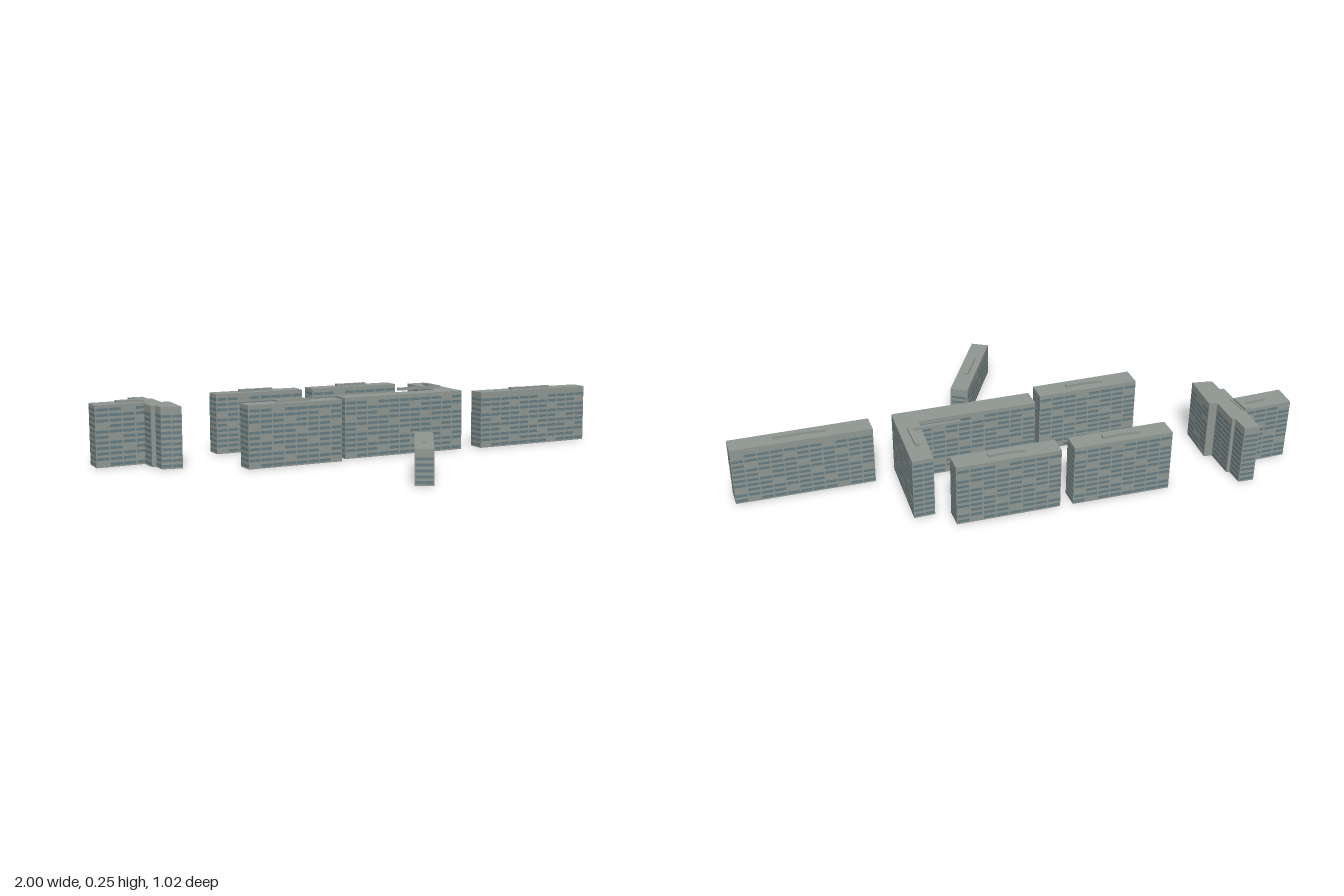
import * as THREE from 'three';
import { mergeGeometries } from 'three/addons/utils/BufferGeometryUtils.js';

const wall = new THREE.MeshStandardMaterial({ color: 0x8f9691 });
const glass = new THREE.MeshStandardMaterial({ color: 0x647c83 });
const FLOOR = 0.0203;

// Prism standing on y0 from a plan outline of [x, z] corners
function prism(plan, y0, y1) {
  const shape = new THREE.Shape(plan.map(([x, z]) => new THREE.Vector2(x, -z)));
  const geo = new THREE.ExtrudeGeometry(shape, { depth: y1 - y0, bevelEnabled: false });
  return geo.rotateX(-Math.PI / 2).translate(0, y0, 0);
}

function add(group, name, geo, material) {
  const mesh = new THREE.Mesh(geo, material);
  mesh.name = name;
  group.add(mesh);
}

// Rows of window panes on every wall, with some blank bays
function windows(plan, height) {
  let area = 0;
  plan.forEach(([x, z], i) => {
    const [u, v] = plan[(i + 1) % plan.length];
    area += x * v - u * z;
  });
  const pts = area > 0 ? [...plan].reverse() : plan;
  const panes = [];
  const floors = Math.floor((height - 0.006) / FLOOR);
  pts.forEach(([x, z], i) => {
    const [u, v] = pts[(i + 1) % pts.length];
    const dx = u - x, dz = v - z, length = Math.hypot(dx, dz);
    if (length < 0.045) return;
    const bays = Math.max(1, Math.round(length / 0.047));
    const bay = length / bays;
    const nx = -dz / length, nz = dx / length;
    for (let f = 0; f < floors; f++) {
      for (let b = 0; b < bays; b++) {
        if (bays > 2 && (f * 5 + b * 3 + i * 2) % 7 === 0) continue;
        const t = (b + 0.5) / bays;
        const pane = new THREE.PlaneGeometry(bay * 0.9, 0.0105);
        pane.rotateY(Math.atan2(nx, nz));
        pane.translate(x + dx * t + nx * 0.0008, 0.011 + f * FLOOR, z + dz * t + nz * 0.0008);
        panes.push(pane);
      }
    }
  });
  return mergeGeometries(panes);
}

// Apartment block: walls, windows and rooftop plant rooms
function block(name, height, plan, roofTop, roofs) {
  const group = new THREE.Group();
  group.name = name;
  add(group, 'walls', prism(plan, 0, height), wall);
  add(group, 'windows', windows(plan, height), glass);
  for (const roof of roofs) add(group, 'roofHousing', prism(roof, height - 0.001, roofTop), wall);
  return group;
}

// Slim rooftop housing, broader at its left half
const housing = (x0, x1, z, slope = -0.005) => {
  const m = (x0 + x1) / 2;
  return [[x0, z - 0.011], [m, z - 0.008], [x1, z - 0.009 + slope], [x1, z + 0.007 + slope],
    [m, z + 0.005], [x0, z + 0.011]];
};

export function createModel() {
  const model = new THREE.Group();
  model.name = 'apartmentEstate';

  // Back row
  model.add(block('backLeftBlock', 0.235,
    [[-0.51, -0.48], [-0.15, -0.49], [-0.145, -0.42], [-0.505, -0.408]],
    0.245, [housing(-0.4, -0.26, -0.447)]));
  model.add(block('backRightBlock', 0.235,
    [[-0.103, -0.49], [0.27, -0.502], [0.275, -0.432], [-0.098, -0.42]],
    0.245, [housing(0.02, 0.15, -0.457)]));

  // Front row
  model.add(block('frontLeftBlock', 0.235,
    [[-0.505, -0.118], [-0.13, -0.133], [-0.125, -0.06], [-0.5, -0.043]],
    0.245, [housing(-0.38, -0.24, -0.085)]));
  model.add(block('frontRightBlock', 0.224,
    [[0.495, -0.177], [0.995, -0.192], [1, -0.125], [0.5, -0.105]],
    0.233, [housing(0.655, 0.84, -0.143)]));

  // Corner block with a wing running back
  model.add(block('cornerBlock', 0.235,
    [[-0.1, -0.172], [0.333, -0.187], [0.33, -0.425], [0.405, -0.43], [0.417, -0.117], [-0.095, -0.098]],
    0.245, [[[0.19, -0.236], [0.365, -0.244], [0.357, -0.34], [0.375, -0.342], [0.382, -0.232], [0.192, -0.226]]]));

  // Stepped tower cluster
  model.add(block('towerWing', 0.231,
    [[-1, -0.39], [-0.81, -0.402], [-0.795, -0.318], [-0.997, -0.302]],
    0.24, [[[-0.91, -0.362], [-0.83, -0.367], [-0.835, -0.405], [-0.815, -0.408], [-0.805, -0.33], [-0.825, -0.345], [-0.91, -0.338]]]));
  model.add(block('steppedTower', 0.228,
    [[-0.825, -0.512], [-0.768, -0.512], [-0.762, -0.445], [-0.75, -0.445], [-0.742, -0.33],
      [-0.712, -0.327], [-0.71, -0.17], [-0.785, -0.18], [-0.79, -0.24], [-0.806, -0.24], [-0.812, -0.31]],
    0.238, []));

  // Low slanted block in front
  model.add(block('lowBlock', 0.127,
    [[0.077, 0.147], [0.137, 0.177], [-0.028, 0.507], [-0.088, 0.477]],
    0.135, [[[0.047, 0.264], [0.061, 0.271], [0.003, 0.39], [-0.013, 0.382]]]));

  return model;
}
